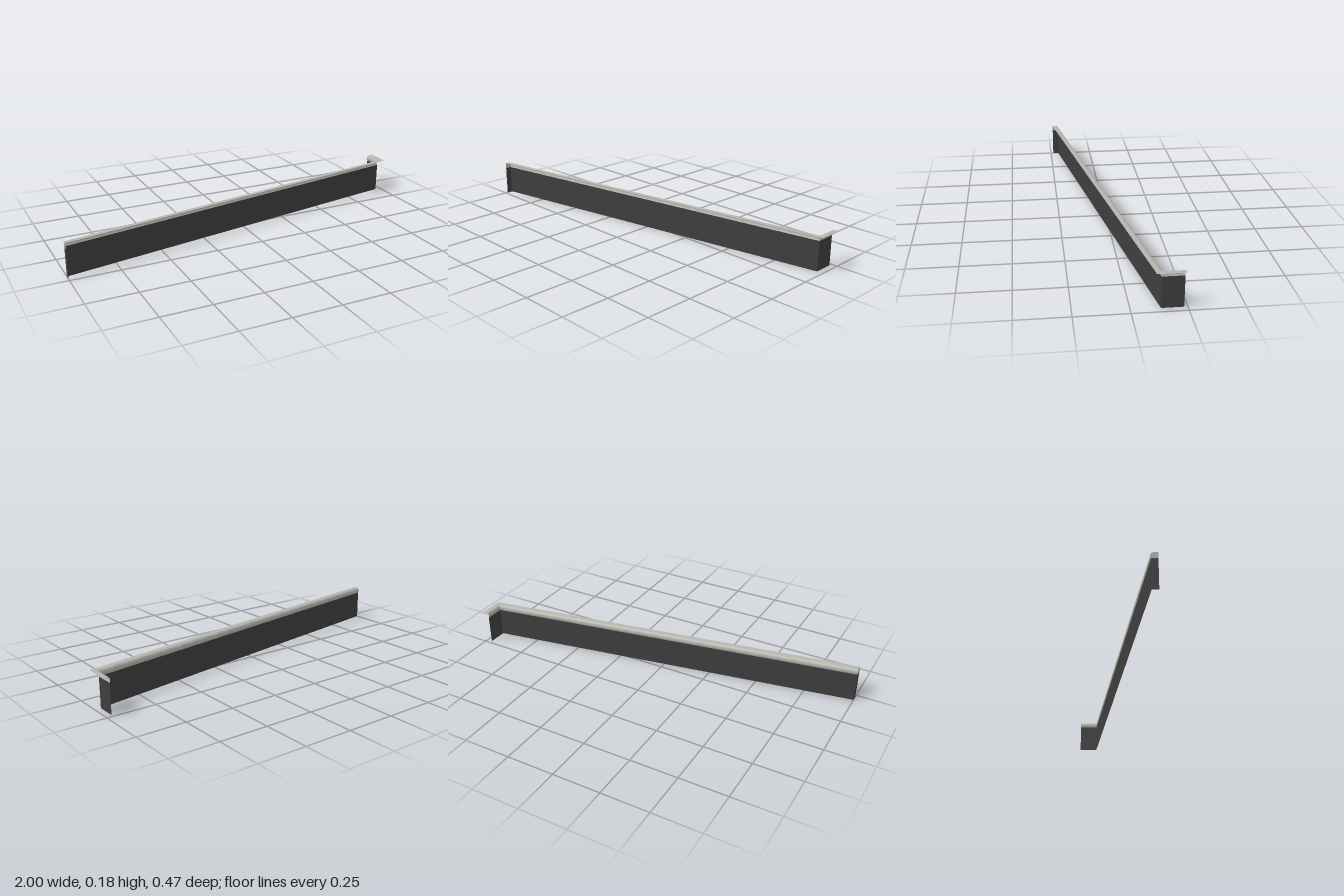
import * as THREE from 'three';

const stone = new THREE.MeshStandardMaterial({ color: 0xb6b6af, side: THREE.DoubleSide });
stone.name = 'pale stone';
const dark = new THREE.MeshStandardMaterial({ color: 0x3e3e3e, side: THREE.DoubleSide });
dark.name = 'dark wall';

const CAP_Y = 0.153;
const TILES = 24;

// Plan of the wall: position (x, z) and the mitred outward direction (ox, oz)
const start = { x: -1, z: 0.204, ox: 0, oz: 1.015 };
const corner = { x: 0.969, z: -0.133, ox: 1, oz: 0.84 };
const end = { x: 0.969, z: -0.234, ox: 1, oz: 0 };

// Profiles as [outward offset, height]
const wallProfile = [[0, 0], [0, CAP_Y]];
const capProfile = [
  [0, CAP_Y], [-0.0025, 0.159], [-0.0035, 0.166], [-0.002, 0.173],
  [0.001, 0.179], [0.006, 0.182], [0.011, 0.183], [0.031, 0.183],
];

// Open sheet swept between two stations
function sweep(profile, a, b) {
  const pos = [], index = [], n = profile.length;
  for (const s of [a, b])
    for (const [o, y] of profile) pos.push(s.x + s.ox * o, y, s.z + s.oz * o);
  for (let j = 0; j < n - 1; j++)
    index.push(j, j + 1, n + j + 1, j, n + j + 1, n + j);
  const g = new THREE.BufferGeometry();
  g.setAttribute('position', new THREE.Float32BufferAttribute(pos, 3));
  g.setIndex(index);
  g.computeVertexNormals();
  return g;
}

// Flat closing plate across the start of the wall
function endPlate(points) {
  const shape = new THREE.Shape(points.map(([o, y]) => new THREE.Vector2(o * start.oz, y)));
  return new THREE.ShapeGeometry(shape).rotateY(-Math.PI / 2).translate(start.x, 0, start.z);
}

export function createModel() {
  const model = new THREE.Group();
  model.name = 'copedWall';
  const add = (name, geometry, material) => {
    const mesh = new THREE.Mesh(geometry, material);
    mesh.name = name;
    model.add(mesh);
  };

  // Wall faces
  add('mainWall', sweep(wallProfile, start, corner), dark);
  add('returnWall', sweep(wallProfile, corner, end), dark);
  add('wallEnd', endPlate([[0, 0], [0.031, 0], [0.031, CAP_Y], [0, CAP_Y]]), dark);

  // Row of rounded coping stones; only the last is mitred
  const station = (i) => {
    if (i === TILES) return corner;
    const t = i / TILES;
    return {
      x: THREE.MathUtils.lerp(start.x, corner.x, t),
      z: THREE.MathUtils.lerp(start.z, corner.z, t),
      ox: i === 0 ? 0 : 0.169,
      oz: i === 0 ? start.oz : 0.986,
    };
  };
  for (let i = 0; i < TILES; i++)
    add('copingStone' + (i + 1), sweep(capProfile, station(i), station(i + 1)), stone);
  add('returnCoping', sweep(capProfile, corner, end), stone);
  add('copingEnd', endPlate([...capProfile, [0.031, CAP_Y]]), stone);

  return model;
}
